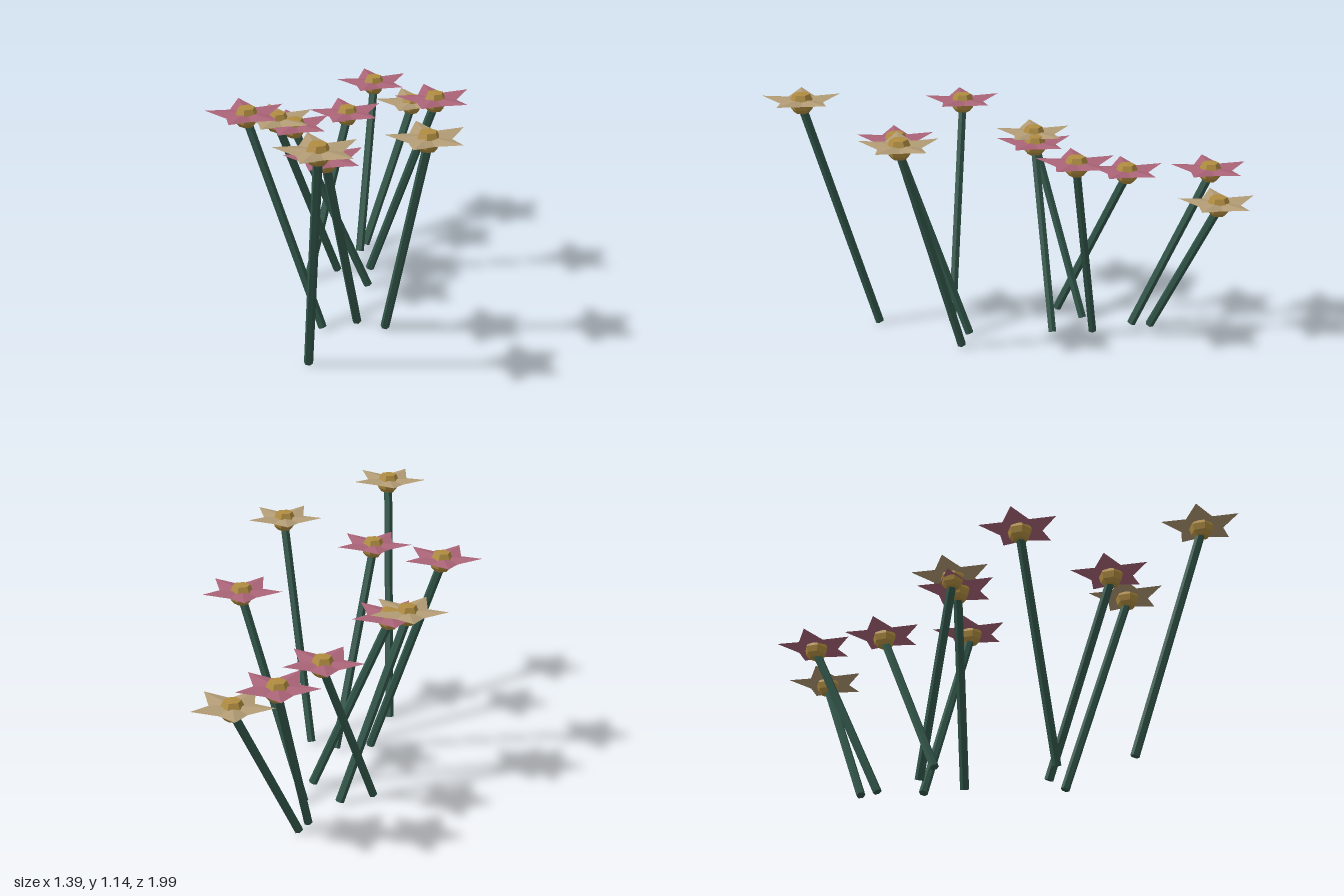
import * as THREE from 'three';

const mat = (name, color, side = THREE.FrontSide) => {
  const m = new THREE.MeshStandardMaterial({ color, side, flatShading: true });
  m.name = name;
  return m;
};

// head x, y, z, stem foot x, z, petal colour
const FLOWERS = [
  [-0.40, 0.665, -0.83, -0.425, -0.50, 'cream'],
  [-0.55, 0.765, -0.72, -0.395, -0.42, 'pink'],
  [-0.425, 0.735, -0.365, -0.39, -0.03, 'pink'],
  [0.085, 0.915, -0.372, -0.235, -0.30, 'pink'],
  [-0.365, 0.815, 0.08, -0.125, -0.15, 'pink'],
  [-0.43, 0.84, 0.122, -0.345, -0.19, 'cream'],
  [-0.32, 0.98, 0.44, -0.008, 0.317, 'pink'],
  [0.17, 0.912, 0.492, 0.075, 0.175, 'pink'],
  [0.515, 1.012, 0.247, 0.205, 0.137, 'cream'],
  [0.413, 1.105, 0.822, 0.163, 0.61, 'cream'],
];

// five-pointed star of creased petals
function petalGeometry() {
  const pos = [];
  const at = (r, a, y) => [r * Math.cos(a), y, -r * Math.sin(a)];
  const centre = [0, 0.012, 0];
  for (let i = 0; i < 5; i++) {
    const a = (i * Math.PI * 2) / 5, h = Math.PI / 5;
    const tip = at(0.18, a, 0.016), rib = at(0.1, a, 0.014);
    const v0 = at(0.098, a - h, 0.002), v1 = at(0.098, a + h, 0.002);
    for (const tri of [[centre, v0, rib], [centre, rib, v1], [rib, v0, tip], [rib, tip, v1]])
      pos.push(...tri.flat());
  }
  const g = new THREE.BufferGeometry();
  g.setAttribute('position', new THREE.Float32BufferAttribute(pos, 3));
  g.computeVertexNormals();
  return g;
}

// six-sided flower centre
function centreGeometry() {
  const profile = [[0, -0.05], [0.032, -0.05], [0.047, -0.032], [0.055, -0.004], [0.038, 0.034], [0, 0.036]];
  return new THREE.LatheGeometry(profile.map(([r, y]) => new THREE.Vector2(r, y)), 6, Math.PI / 6);
}

export function createModel() {
  const group = new THREE.Group();
  group.name = 'flowers';
  const stemMat = mat('stemGreen', 0x32574a);
  const goldMat = mat('centreGold', 0xb08c40);
  const petalMats = {
    cream: mat('petalCream', 0xb39c76, THREE.DoubleSide),
    pink: mat('petalPink', 0xab6478, THREE.DoubleSide),
  };
  const petals = petalGeometry(), centre = centreGeometry();
  const up = new THREE.Vector3(0, 1, 0);

  for (const [x, y, z, fx, fz, colour] of FLOWERS) {
    const flower = new THREE.Group();
    flower.name = 'flower';

    // leaning stem
    const foot = new THREE.Vector3(fx, 0.01, fz), top = new THREE.Vector3(x, y - 0.02, z);
    const dir = top.clone().sub(foot);
    const stem = new THREE.Mesh(new THREE.CylinderGeometry(0.02, 0.02, dir.length(), 6), stemMat);
    stem.name = 'stem';
    stem.position.copy(foot).add(top).multiplyScalar(0.5);
    stem.quaternion.setFromUnitVectors(up, dir.normalize());

    // upright blossom
    const petalMesh = new THREE.Mesh(petals, petalMats[colour]);
    petalMesh.name = 'petals';
    const centreMesh = new THREE.Mesh(centre, goldMat);
    centreMesh.name = 'flowerCentre';
    for (const m of [petalMesh, centreMesh]) m.position.set(x, y, z);

    flower.add(stem, petalMesh, centreMesh);
    group.add(flower);
  }
  return group;
}
